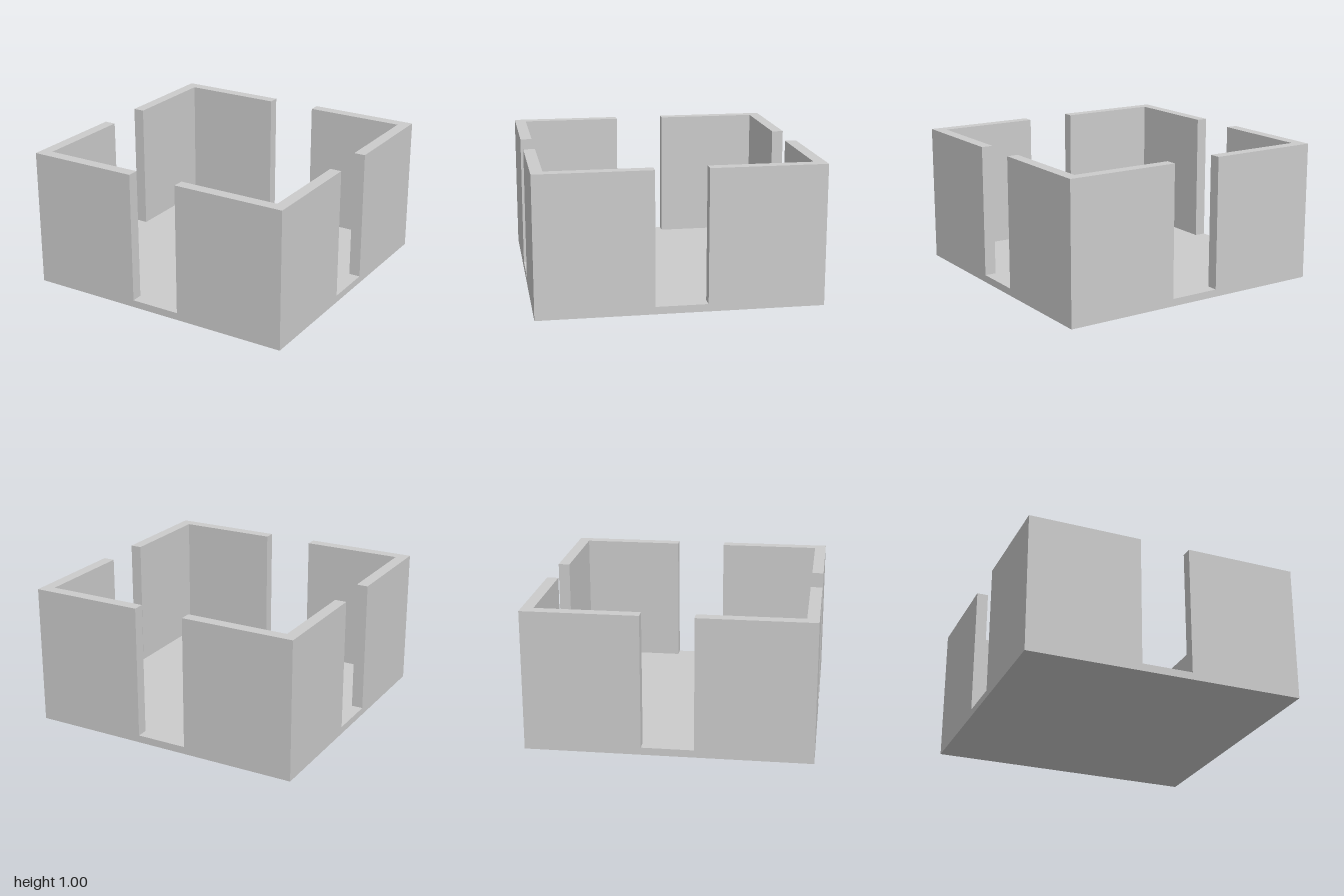
import * as THREE from 'three';

const HALF = 1;        // half the side of the square plan
const HEIGHT = 1;
const FLOOR = 0.053;   // floor thickness
const WALL = 0.083;    // wall thickness
const GAP = 0.184;     // half the width of each doorway

export function createModel() {
  const model = new THREE.Group();
  model.name = 'openRoom';
  const material = new THREE.MeshStandardMaterial({ color: 0xcccccc, flatShading: true });

  // Floor slab
  const floor = new THREE.Mesh(new THREE.BoxGeometry(2 * HALF, FLOOR, 2 * HALF), material);
  floor.name = 'floor';
  floor.position.y = FLOOR / 2;
  model.add(floor);

  // L-shaped corner wall, extruded upwards from its plan
  const inner = HALF - WALL;
  const plan = new THREE.Shape([
    [GAP, inner], [inner, inner], [inner, GAP],
    [HALF, GAP], [HALF, HALF], [GAP, HALF],
  ].map(([x, y]) => new THREE.Vector2(x, y)));
  const cornerGeometry = new THREE.ExtrudeGeometry(plan, { depth: HEIGHT - FLOOR, bevelEnabled: false });
  cornerGeometry.rotateX(-Math.PI / 2);

  // Four corners, leaving a doorway in the middle of each side
  ['backLeft', 'backRight', 'frontRight', 'frontLeft'].forEach((corner, i) => {
    const wall = new THREE.Mesh(cornerGeometry, material);
    wall.name = `${corner}CornerWall`;
    wall.position.y = FLOOR;
    wall.rotation.y = i * Math.PI / 2;
    model.add(wall);
  });

  return model;
}
